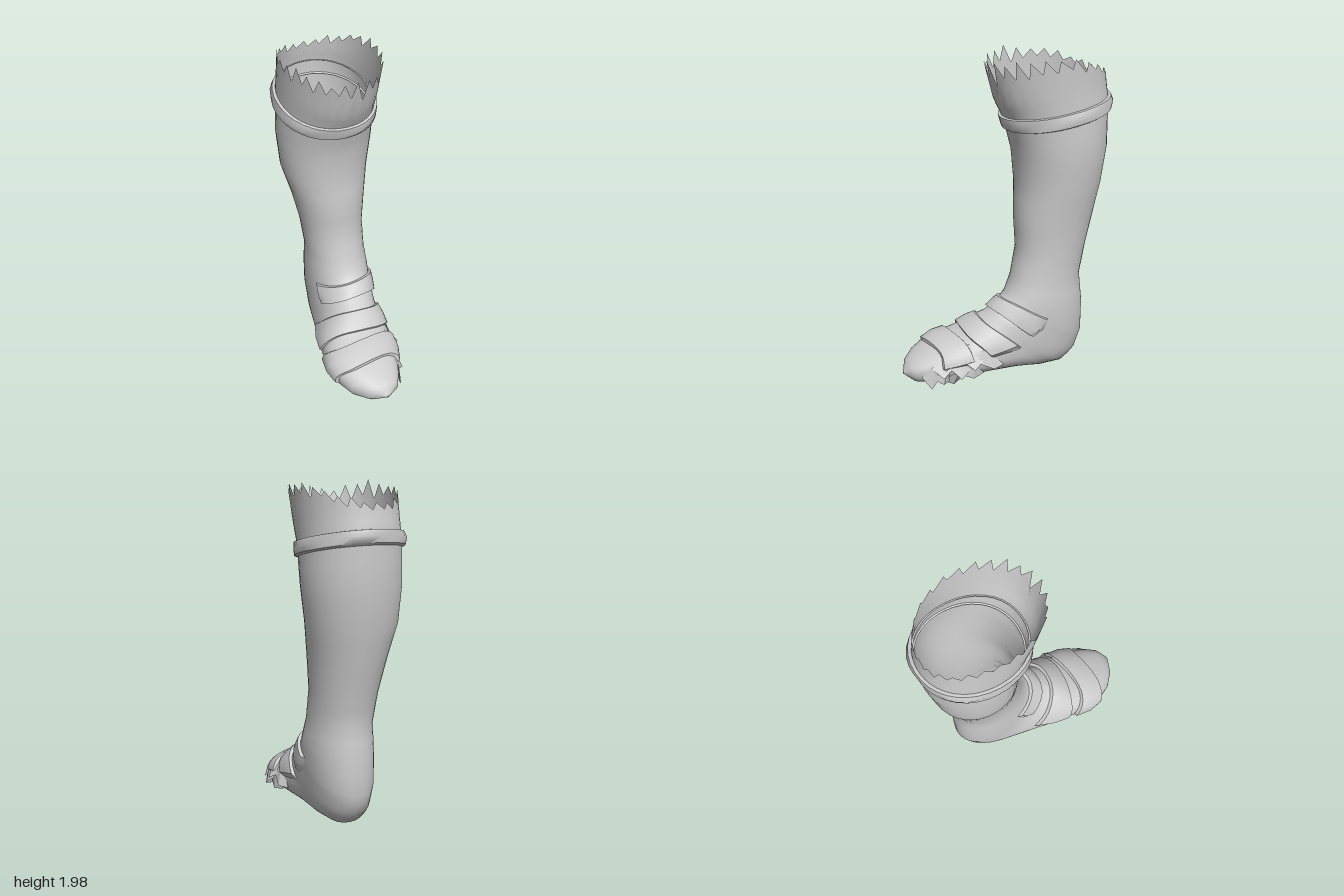
import * as THREE from 'three';
import { toCreasedNormals } from 'three/addons/utils/BufferGeometryUtils.js';

// Cross-sections from the torn rim to the toes: [frontY, frontZ, backY, backZ, centreX, halfWidth]
const SECTIONS = [
  [1.96, 0.12, 1.88, -0.62, 0.01, 0.28],
  [1.71, 0.05, 1.78, -0.635, 0.005, 0.275],
  [1.62, 0, 1.73, -0.645, 0.005, 0.275],
  [1.54, -0.03, 1.65, -0.645, 0.005, 0.28],
  [1.4, -0.07, 1.42, -0.64, 0.005, 0.282],
  [1.2, -0.09, 1.2, -0.61, 0, 0.262],
  [1, -0.075, 1, -0.565, 0.01, 0.22],
  [0.8, -0.08, 0.8, -0.515, 0.02, 0.19],
  [0.62, -0.04, 0.62, -0.48, 0.025, 0.18],
  [0.53, 0, 0.42, -0.5, 0.028, 0.19],
  [0.49, 0.04, 0.22, -0.5, 0.025, 0.19],
  [0.45, 0.08, 0.1, -0.46, 0.02, 0.185],
  [0.42, 0.12, 0.025, -0.36, 0.01, 0.185],
  [0.39, 0.17, 0.015, -0.22, -0.01, 0.19],
  [0.35, 0.22, 0.035, -0.05, -0.03, 0.205],
  [0.31, 0.29, 0.045, 0.12, -0.045, 0.22],
  [0.28, 0.37, 0.045, 0.29, -0.06, 0.22],
  [0.25, 0.46, 0.04, 0.42, -0.07, 0.2],
  [0.21, 0.55, 0.035, 0.52, -0.065, 0.16],
  [0.17, 0.62, 0.05, 0.6, -0.05, 0.1],
  [0.11, 0.66, 0.1, 0.66, -0.04, 0.005],
];
const LAST = SECTIONS.length - 1;

function sectionAt(t) {
  const i = Math.min(Math.max(Math.floor(t), 0), LAST - 1);
  const f = t - i;
  return SECTIONS[i].map((v, k) => THREE.MathUtils.lerp(v, SECTIONS[i + 1][k], f));
}

// Point on the skin; angle 0 is the front or top, PI/2 is +x
function skin(t, angle, offset = 0) {
  const [ay, az, by, bz, cx, w] = sectionAt(t);
  const power = t > 11 ? 0.85 : 0.95;
  const soft = (v) => Math.sign(v) * Math.abs(v) ** power;
  const c = soft(Math.cos(angle)), s = soft(Math.sin(angle));
  const out = new THREE.Vector3(w * s, (c * (ay - by)) / 2, (c * (az - bz)) / 2);
  const centre = new THREE.Vector3(cx, (ay + by) / 2, (az + bz) / 2);
  return centre.addScaledVector(out, 1 + offset / Math.max(out.length(), 0.01));
}

// Grid surface from a point rule, optionally closed around
function surface(rows, cols, closed, point) {
  const pos = [], index = [];
  const n = closed ? cols : cols + 1;
  for (let j = 0; j <= rows; j++)
    for (let i = 0; i < n; i++) pos.push(...point(j, i).toArray());
  for (let j = 0; j < rows; j++)
    for (let i = 0; i < cols; i++) {
      const a = j * n + i, b = j * n + ((i + 1) % n);
      index.push(a, a + n, b, b, a + n, b + n);
    }
  const g = new THREE.BufferGeometry();
  g.setAttribute('position', new THREE.Float32BufferAttribute(pos, 3));
  g.setIndex(index);
  g.computeVertexNormals();
  return g;
}

export function createModel() {
  const group = new THREE.Group();
  const grey = new THREE.MeshStandardMaterial({ color: 0xcccccc, side: THREE.DoubleSide });
  grey.name = 'pale grey';
  const add = (name, geometry) => {
    const mesh = new THREE.Mesh(geometry, grey);
    mesh.name = name;
    group.add(mesh);
  };
  let seed = 7;
  const rand = () => (seed = (seed * 16807) % 2147483647) / 2147483647;

  // Hollow leg running into the foot
  const bodyRows = (LAST - 2) * 2, around = 36;
  add('legAndFoot', surface(bodyRows, around, true, (j, i) =>
    skin(2 + j / 2, (i / around) * Math.PI * 2)));

  // Torn cuff with alternating peaks and notches
  const teeth = 52;
  const tips = Array.from({ length: teeth }, (_, i) => (i % 2 ? 0.35 + 0.25 * rand() : 0.18 * rand()));
  add('tornCuff', toCreasedNormals(surface(5, teeth, true, (j, i) => {
    const a = ((i + (j ? 0 : 0.35 * (i % 2))) / teeth) * Math.PI * 2;
    const p = skin(THREE.MathUtils.lerp(tips[i], 2.1, j / 5), a);
    p.y += 0.07 * Math.sin(a) ** 2 * (1 - j / 5);
    return p;
  }), 0.7));

  // Raised band below the cuff
  const bandT = [2, 2.05, 2.5, 2.95, 3.05], bandOut = [-0.01, 0.018, 0.026, 0.02, -0.01];
  add('kneeBand', toCreasedNormals(surface(4, around, true, (j, i) => {
    const a = (i / around) * Math.PI * 2;
    return skin(bandT[j], a, bandOut[j] + (j === 2 ? 0.006 * Math.sin(a * 5) : 0));
  }), 0.8));

  // Wrapped straps over the instep: [name, start, end, -x reach, +x reach]
  const straps = [
    ['ankleStrap', 9.7, 11.5, 1.3, 1.5],
    ['instepStrap', 12.9, 14.8, 1.75, 1.6],
    ['toeStrap', 15.4, 17.2, 1.85, 1.6],
  ];
  const across = [0, 0.04, 0.5, 0.96, 1], lift = [-0.015, 0.02, 0.028, 0.02, -0.015];
  for (const [name, t0, t1, reachR, reachL] of straps) {
    const cols = 18;
    add(name, toCreasedNormals(surface(4, cols, false, (j, i) => {
      const a = THREE.MathUtils.lerp(-reachR, reachL, i / cols);
      const ends = i === 0 || i === cols;
      const sway = 0.12 * Math.sin(a * 3 + t0);
      return skin(THREE.MathUtils.lerp(t0, t1, across[j]) + sway, a, ends ? -0.015 : lift[j]);
    }), 0.7));
  }

  // Ragged flaps of wrapping along the +x edge of the toes: [position, angle, length]
  const flaps = [
    [14.9, 1.5, 0.06], [15.6, 1.15, 0.08], [15.9, 1.8, 0.06], [16.4, 1.35, 0.07],
    [16.8, 2.1, 0.06], [17.3, 1.2, 0.06], [17.4, 1.8, 0.07], [18.1, 1.6, 0.05],
  ];
  flaps.forEach(([t, a, length], k) => {
    const low = skin(t - 0.5, a + 0.35, 0.01), high = skin(t - 0.4, a - 0.45, 0.012);
    const front = skin(t + 0.6, a, 0.012);
    const tip = skin(t, a + 0.25, length * 0.6);
    tip.y = Math.max(0, tip.y - (k % 2 ? 0.05 : 0.01));
    const g = new THREE.BufferGeometry().setFromPoints(
      [low, tip, high, high, tip, front, front, tip, low]);
    g.computeVertexNormals();
    add('raggedFlap' + (k + 1), g);
  });

  return group;
}
